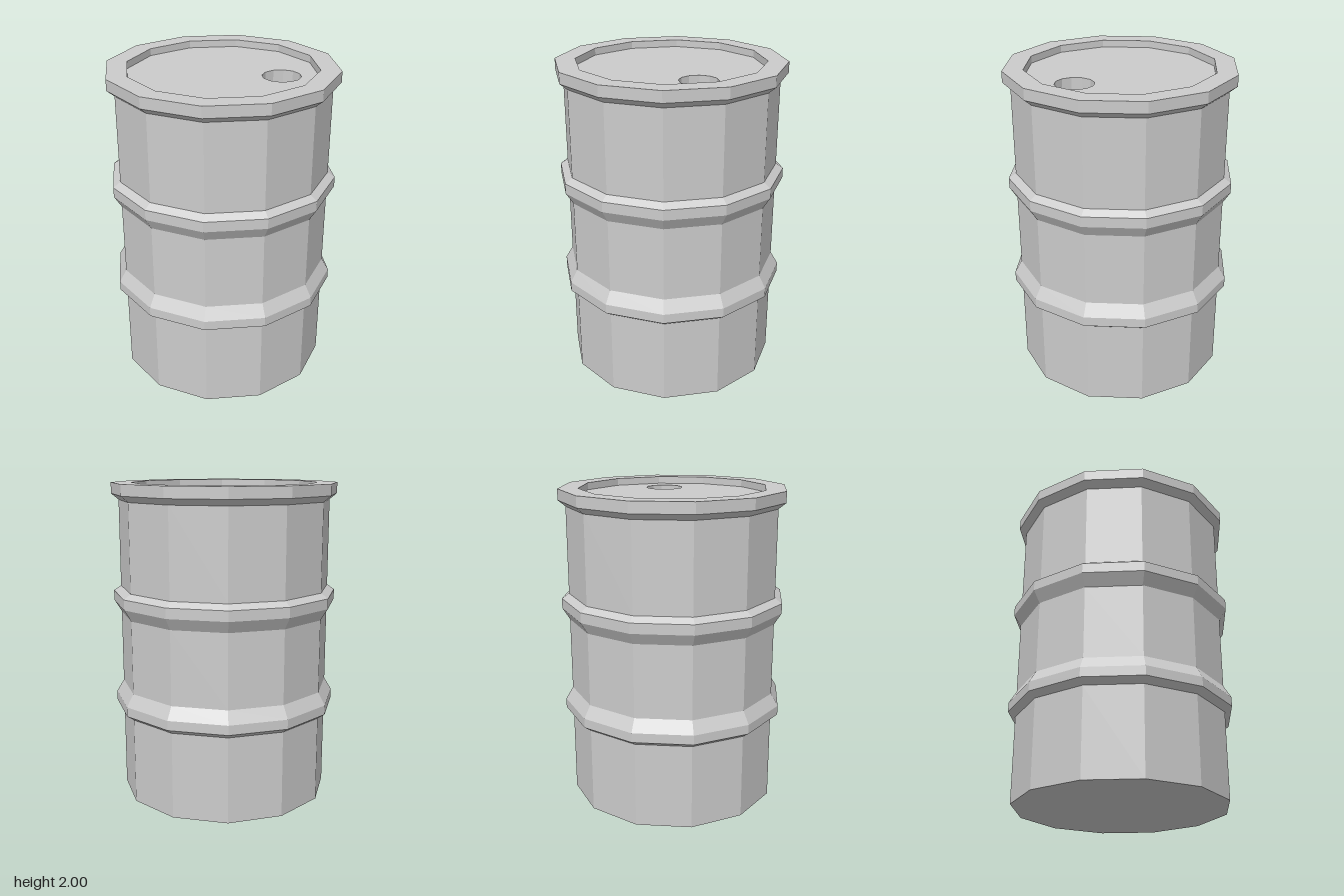
import * as THREE from 'three';

const SIDES = 12;
const R = 0.667, RIB = 0.713, INNER = 0.587; // wall, rib and inner rim radii
const LID_Y = 1.955;
const HOLE = { x: 0.358, r: 0.118, depth: 0.2 };

const polygon = (Type, radius, cx = 0) => {
  const pts = [];
  for (let i = 0; i < SIDES; i++) {
    const a = (i / SIDES) * Math.PI * 2;
    pts.push(new THREE.Vector2(cx + radius * Math.cos(a), radius * Math.sin(a)));
  }
  return new Type(pts);
};

const lathe = (profile) =>
  new THREE.LatheGeometry(profile.map(([r, y]) => new THREE.Vector2(r, y)), SIDES);

export function createModel() {
  const group = new THREE.Group();
  const material = new THREE.MeshStandardMaterial({ color: 0xcccccc, flatShading: true });
  const add = (name, geometry) => {
    const mesh = new THREE.Mesh(geometry, material);
    mesh.name = name;
    group.add(mesh);
    return mesh;
  };

  // Closed bottom, ribbed wall and raised rim in one profile
  add('barrelBody', lathe([
    [0, 0], [R, 0],
    [R, 0.546], [RIB, 0.578], [RIB, 0.638], [R, 0.716], // lower rib
    [R, 1.178], [RIB, 1.252], [RIB, 1.316], [R, 1.347], // upper rib
    [R, 1.893], [RIB, 1.931], [RIB, 2], // rim
    [INNER, 2], [INNER, LID_Y],
  ]));

  // Recessed lid pierced by the filling hole
  const lidShape = polygon(THREE.Shape, INNER);
  lidShape.holes.push(polygon(THREE.Path, HOLE.r, HOLE.x));
  const lid = add('lid', new THREE.ShapeGeometry(lidShape).rotateX(-Math.PI / 2));
  lid.position.y = LID_Y;

  // Well beneath the filling hole
  const well = add('fillingHole', lathe([[HOLE.r, 0], [HOLE.r, -HOLE.depth], [0, -HOLE.depth]]));
  well.position.set(HOLE.x, LID_Y, 0);

  return group;
}
